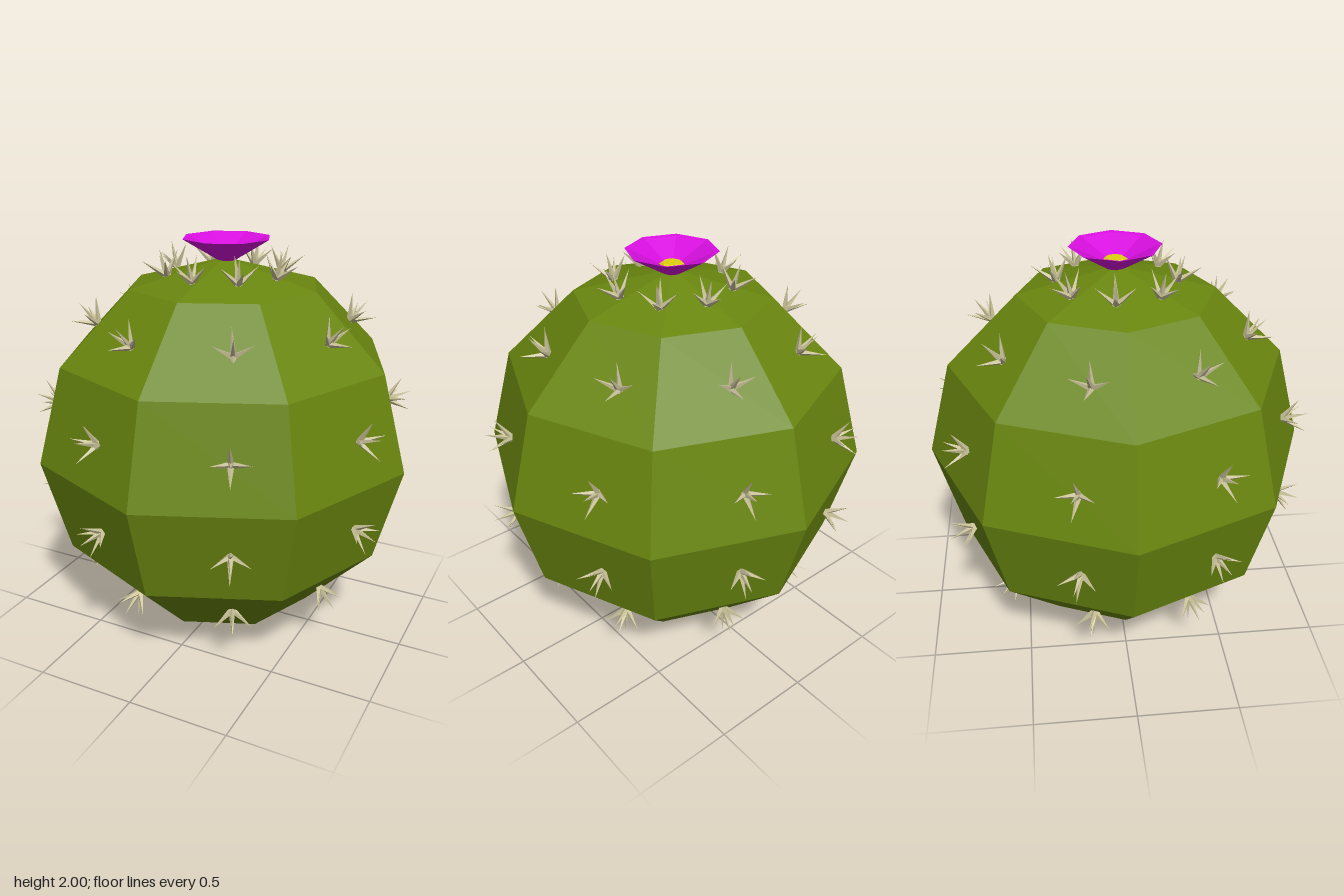
import * as THREE from 'three';
import { mergeGeometries } from 'three/addons/utils/BufferGeometryUtils.js';

const R = 0.953; // body radius, also the height of its centre
const rad = THREE.MathUtils.degToRad;

const material = (name, color) => {
  const m = new THREE.MeshStandardMaterial({ color });
  m.name = name;
  return m;
};

// Faceted normals
function flat(geometry) {
  const g = geometry.index ? geometry.toNonIndexed() : geometry;
  g.computeVertexNormals();
  return g;
}

function mesh(name, geometry, mat) {
  const m = new THREE.Mesh(geometry, mat);
  m.name = name;
  return m;
}

// Distance from the body centre to its flat facet, along an elevation and azimuth
function facetDistance(elevation, azimuth) {
  const low = Math.floor(elevation / 30) * 30;
  const apothem = Math.cos(rad(22.5));
  const r0 = Math.cos(rad(low)) * apothem, y0 = Math.sin(rad(low));
  const r1 = Math.cos(rad(low + 30)) * apothem, y1 = Math.sin(rad(low + 30));
  const nr = y1 - y0, ny = r0 - r1;
  const offset = ((azimuth % 45) + 45) % 45 - 22.5;
  const along = nr * Math.cos(rad(elevation)) * Math.cos(rad(offset)) + ny * Math.sin(rad(elevation));
  return R * (nr * r0 + ny * y0) / along;
}

// One central spine with four leaning outward, pointing along +y
function spineCluster() {
  const spine = (length, tilt, turn) => new THREE.ConeGeometry(0.018, length, 4)
    .translate(0, length / 2 - 0.012, 0)
    .rotateX(rad(tilt))
    .rotateY(rad(turn));
  const parts = [spine(0.145, 4, 30)];
  const lengths = [0.15, 0.14, 0.15, 0.14];
  const tilts = [42, 47, 40, 45];
  const turns = [4, 86, 176, 274];
  for (let i = 0; i < 4; i++) parts.push(spine(lengths[i], tilts[i], turns[i]));
  return flat(mergeGeometries(parts));
}

export function createModel() {
  const green = material('cactus green', 0x69860f);
  const straw = material('spine straw', 0xc9c299);
  const magenta = material('petal magenta', 0xd80fe0);
  const yellow = material('pollen yellow', 0xe0d010);

  const model = new THREE.Group();
  model.name = 'cactus';

  // Round body
  const body = mesh('body', flat(new THREE.SphereGeometry(R, 8, 6)), green);
  body.position.y = R;
  model.add(body);

  // Rings of spine clusters: elevation and starting azimuth in degrees
  const rings = [[72, 6], [45.5, 15.5], [15, 17], [-14.5, 17], [-44.5, 15.5]];
  const clusterGeometry = spineCluster();
  const spines = new THREE.Group();
  spines.name = 'spines';
  for (const [elevation, start] of rings) {
    for (let i = 0; i < 8; i++) {
      const azimuth = start + i * 45;
      const e = rad(elevation), a = rad(azimuth);
      const out = new THREE.Vector3(Math.cos(e) * Math.cos(a), Math.sin(e), Math.cos(e) * Math.sin(a));
      const side = new THREE.Vector3(-Math.sin(a), 0, Math.cos(a));
      const cluster = mesh('spineCluster', clusterGeometry, straw);
      cluster.position.copy(out).multiplyScalar(facetDistance(elevation, azimuth));
      cluster.position.y += R;
      cluster.quaternion.setFromRotationMatrix(
        new THREE.Matrix4().makeBasis(side, out, side.clone().cross(out)));
      spines.add(cluster);
    }
  }
  model.add(spines);

  // Open flower: outer wall, narrow rim and inner bowl
  const flower = new THREE.Group();
  flower.name = 'flower';
  flower.position.set(0.007, 0, -0.005);
  const profile = [[0.03, 1.885], [0.22, 2], [0.2, 1.996], [0.055, 1.93], [0, 1.93]]
    .map(([x, y]) => new THREE.Vector2(x, y));
  flower.add(mesh('petals', flat(new THREE.LatheGeometry(profile, 8)), magenta));

  // Low pollen dome
  const pollen = mesh('flowerCentre', flat(new THREE.CylinderGeometry(0.045, 0.062, 0.012, 8)), yellow);
  pollen.position.y = 1.936;
  flower.add(pollen);
  model.add(flower);

  return model;
}
